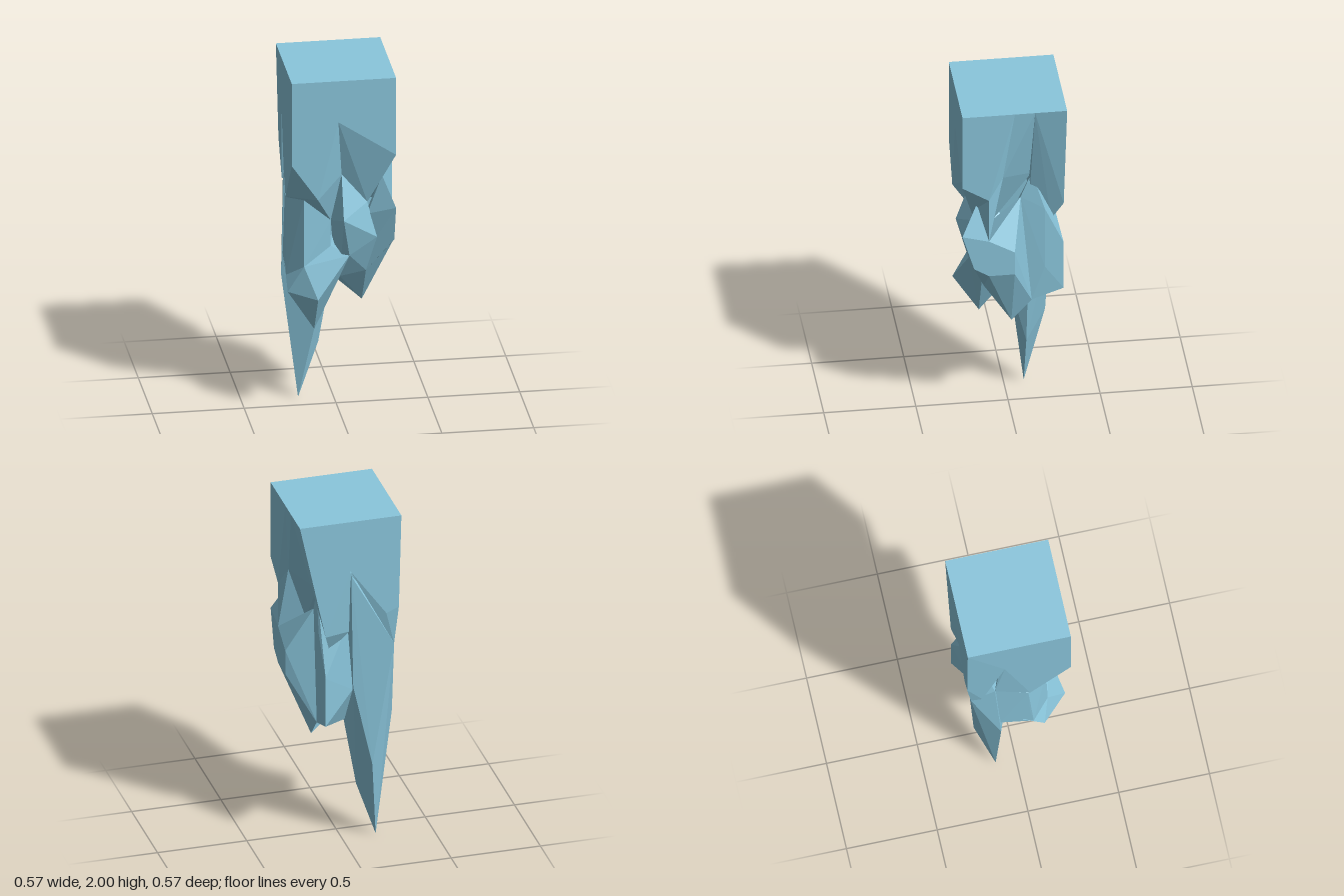
import * as THREE from 'three';
import { ConvexGeometry } from 'three/addons/geometries/ConvexGeometry.js';

const W = 0.284; // half width of the square top

const ice = new THREE.MeshStandardMaterial({ color: 0x8ac6dc });
ice.name = 'ice blue';
ice.flatShading = true;

// One faceted shard: the convex hull of a few corner points
function shard(name, points) {
  const geometry = new ConvexGeometry(points.map((p) => new THREE.Vector3(...p)));
  const mesh = new THREE.Mesh(geometry, ice);
  mesh.name = name;
  return mesh;
}

// Quarter of the flat top; sx and sz pick the corner, z0 is its inner edge
const topQuarter = (sx, sz, z0 = 0) => [[0, 2, z0], [sx * W, 2, z0], [0, 2, sz * W], [sx * W, 2, sz * W]];

export function createModel() {
  const group = new THREE.Group();
  group.name = 'hangingIcicle';

  group.add(
    // Hidden core that ties the shards together
    shard('core', [
      [-0.12, 1.6, -0.12], [0.12, 1.6, -0.12], [0.12, 1.6, 0.12], [-0.12, 1.6, 0.12],
      [-0.08, 0.9, -0.08], [0.08, 0.9, -0.08], [0.08, 0.9, 0.08], [-0.08, 0.9, 0.08],
    ]),

    // Upper block: four quarters with ragged lower edges
    shard('upperFrontLeftBlock', [
      ...topQuarter(-1, 1), [-W, 2, -0.08],
      [-W, 1.52, W], [-0.14, 1.31, W], [-0.03, 1.76, W], [0, 1.42, 0.2],
      [-0.2, 1.27, 0.15], [-0.05, 1.13, 0.14], [-W, 1.25, 0.06],
      [-W, 1.7, -0.08], [-0.265, 1.33, -0.13],
    ]),
    shard('upperFrontRightBlock', [
      ...topQuarter(1, 1), [-0.03, 1.76, W],
      [0, 1.42, 0.2], [0.14, 1.38, 0.2], [0.14, 1.25, 0.2], [W, 1.55, W],
      [W, 1.46, 0.14], [0.25, 1.58, 0.06], [0.14, 1.25, 0.1],
    ]),
    shard('upperRightFin', [
      [W, 1.46, 0.14], [W, 1.2, 0.14], [0.25, 1.58, 0.06],
      [0.14, 1.25, 0.1], [0.21, 1.4, 0.2], [0.14, 1.4, 0.1],
    ]),
    // Cleft on the right side
    shard('upperRightCleft', [
      [W, 2, 0], [W, 2, -0.11], [0, 2, 0], [0, 2, -0.11],
      [0.14, 1.82, -0.06], [0.25, 1.58, 0.06], [0.14, 1.25, 0.1], [0.14, 1.53, -0.11], [0.05, 1.4, 0],
    ]),
    shard('upperBackRightBlock', [
      ...topQuarter(1, -1, -0.11),
      [0.14, 1.32, -W], [0, 1.7, -W], [0, 1.32, -0.25], [0.1, 1.2, -0.22],
      [0.16, 1.52, -0.18], [0.14, 1.82, -0.06], [0.14, 1.53, -0.11], [0.1, 1.3, -0.1],
    ]),
    shard('upperBackLeftBlock', [
      ...topQuarter(-1, -1),
      [0, 1.7, -W], [-0.2, 1.42, -W], [-0.27, 1.45, -W],
      [-0.265, 1.25, -0.2], [-W, 1.7, -0.08], [-0.25, 1.22, -0.26],
    ]),

    // Longest spike, at the back left
    shard('longSpike', [
      [-0.19, 0, -0.11], [-0.08, 0.32, -0.11], [-0.14, 0.48, -0.22],
      [-W, 0.73, -0.1], [-0.2, 0.75, -0.2], [-0.01, 0.72, -0.11], [-0.06, 0.68, -0.02],
      [-0.03, 0.97, -0.23], [-0.22, 0.95, -0.22], [-0.25, 1.22, -0.26], [-0.265, 1.33, -0.13],
      [-0.01, 1.66, -0.26], [-0.05, 1.2, 0],
    ]),

    // Short front spike
    shard('frontSpike', [
      [-0.14, 0.5, 0.14], [-W, 0.725, 0.14], [-0.14, 0.725, W], [0, 0.8, 0.14],
      [0.04, 0.95, 0.22], [-0.2, 0.88, 0.175], [-0.05, 0.98, 0.14],
      [-0.1, 0.7, 0], [-W, 0.85, 0.02], [0, 1.1, 0],
    ]),
    // Recessed wall between the front spike and the upper block
    shard('leftRecessWall', [
      [-0.2, 1.27, 0.165], [-0.05, 1.13, 0.14], [-0.2, 0.88, 0.175], [-0.05, 0.98, 0.14],
      [-W, 1.25, 0.05], [-W, 0.95, 0.06], [-W, 0.8, 0.08], [-0.275, 0.85, -0.1],
      [-0.255, 1.32, -0.13], [-0.1, 1.1, 0],
    ]),

    // Right spike, with its front and side bulges
    shard('rightSpikeFront', [
      [0.14, 0.6, 0], [0, 0.73, 0], [0, 0.8, 0.14], [0.14, 0.83, 0.15],
      [0.04, 0.95, 0.22], [0.19, 1.05, 0.22], [0, 1.18, W], [0.14, 1.18, 0.2],
      [0.14, 1.25, 0.2], [0, 1.42, 0.2], [-0.05, 1.13, 0.14], [0, 1.2, 0], [0.14, 1.2, 0],
    ]),
    shard('rightFrontBulge', [
      [W, 1.03, 0.22], [0.19, 1.05, 0.22], [W, 1.24, W], [0.14, 1.18, 0.2], [0.22, 1.4, 0.2],
      [W, 1.2, 0.14], [W, 0.98, 0.14], [0.14, 0.83, 0.15], [0.14, 1.1, 0.05],
    ]),
    shard('rightSpikeSide', [
      [0.14, 0.6, 0], [0.14, 0.83, 0.15], [W, 0.98, 0.14], [W, 0.98, 0],
      [W, 1.2, 0.14], [W, 1.12, 0], [0.14, 1.38, -0.05], [0.14, 1.25, 0.1],
      [0.14, 0.72, -0.11], [0.05, 0.8, 0],
    ]),

    // Back bulge beside the long spike
    shard('backBulge', [
      [0.14, 1.07, -W], [0.14, 0.78, -W], [0.15, 0.93, -0.18], [0.15, 1.3, -0.18],
      [0.14, 1.53, -0.11], [0.14, 1.38, -0.05], [0.14, 0.72, -0.11],
      [0.06, 1.1, -0.25], [0, 1.35, -0.22], [-0.03, 0.95, -0.22], [-0.02, 0.72, -0.11], [0.1, 1.25, 0],
    ]),
  );
  return group;
}
